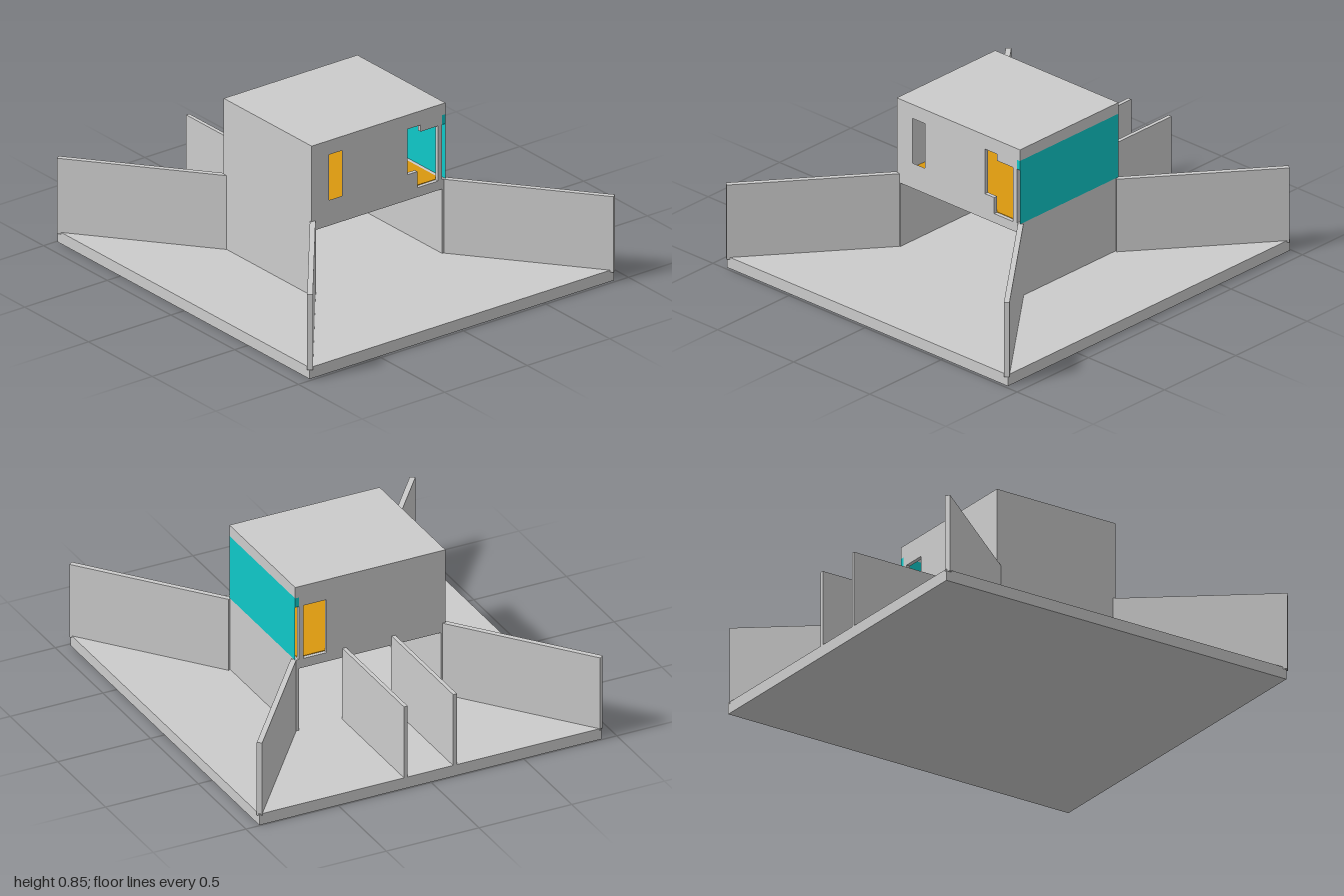
import * as THREE from 'three';

const grey = new THREE.MeshStandardMaterial({ color: 0xcccccc, flatShading: true });
const yellow = new THREE.MeshStandardMaterial({ color: 0xd9980f });
const cyan = new THREE.MeshStandardMaterial({ color: 0x0fc8c8, side: THREE.DoubleSide });

export function createModel() {
  const model = new THREE.Group();
  model.name = 'house';

  const add = (name, geometry, material = grey) => {
    const mesh = new THREE.Mesh(geometry, material);
    mesh.name = name;
    model.add(mesh);
    return mesh;
  };

  // Box given by its limits on each axis
  const block = (name, [x0, x1], [y0, y1], [z0, z1], material) => {
    const mesh = add(name, new THREE.BoxGeometry(x1 - x0, y1 - y0, z1 - z0), material);
    mesh.position.set((x0 + x1) / 2, (y0 + y1) / 2, (z0 + z1) / 2);
    return mesh;
  };

  // Side wall drawn in (z, y), cut by openings, extruded along x
  const toPoints = (list) => list.map(([z, y]) => new THREE.Vector2(-z, y));
  const sideWall = (name, x, outline, windows = []) => {
    const shape = new THREE.Shape(toPoints(outline));
    for (const w of windows) shape.holes.push(new THREE.Path(toPoints(w)));
    const geometry = new THREE.ExtrudeGeometry(shape, { depth: 0.02, bevelEnabled: false });
    geometry.rotateY(Math.PI / 2);
    add(name, geometry).position.x = x;
  };

  const houseX = [-0.35, 0.34];

  // Base plate, ground floor and slab
  block('base', [-0.995, 0.985], [0, 0.06], [-0.925, 0.92]);
  block('frontWall', houseX, [0.06, 0.85], [0.385, 0.41]);
  block('groundBackWall', houseX, [0.06, 0.45], [-0.4, -0.38]);
  block('upperSlab', houseX, [0.4, 0.449], [-0.38, 0.385]);
  block('upperFloor', [-0.33, 0.32], [0.449, 0.452], [-0.38, 0.385], yellow);

  // Upper side walls: door at the back, windows on the left side
  sideWall('leftWall', 0.32, [
    [0.385, 0.449], [0.385, 0.83], [-0.38, 0.83], [-0.38, 0.449], [-0.355, 0.449],
    [-0.355, 0.74], [-0.25, 0.74], [-0.25, 0.775], [-0.17, 0.775], [-0.17, 0.535],
    [-0.23, 0.535], [-0.23, 0.449],
  ], [[[0.305, 0.535], [0.305, 0.775], [0.225, 0.775], [0.225, 0.535]]]);
  sideWall('rightWall', -0.35, [
    [0.385, 0.449], [0.385, 0.83], [-0.38, 0.83], [-0.38, 0.449], [-0.355, 0.449],
    [-0.355, 0.74], [-0.23, 0.74], [-0.23, 0.449],
  ]);

  // Roof and the glazed back
  block('roof', houseX, [0.83, 0.85], [-0.4, 0.385]);
  block('backLintel', houseX, [0.79, 0.83], [-0.4, -0.38]);
  block('glazingHead', houseX, [0.74, 0.79], [-0.4, -0.38], cyan);
  const glazing = add('backGlazing', new THREE.PlaneGeometry(0.69, 0.29), cyan);
  glazing.position.set(-0.005, 0.595, -0.4);

  // Diagonal garden walls from the house corners to the base corners
  for (const sx of [-1, 1]) {
    for (const sz of [-1, 1]) {
      const inner = new THREE.Vector2(sx * 0.335, sz * 0.4);
      const outer = new THREE.Vector2(sx * 0.99, sz * 0.922);
      const run = outer.clone().sub(inner);
      const wall = add('diagonalWall', new THREE.BoxGeometry(run.length(), 0.4, 0.027));
      wall.position.set((inner.x + outer.x) / 2, 0.25, (inner.y + outer.y) / 2);
      wall.rotation.y = -Math.atan2(run.y, run.x);
    }
  }

  // Two parallel walls on the right side
  for (const z of [-0.135, 0.13]) {
    block('passageWall', [-0.995, -0.345], [0.055, 0.45], [z - 0.01, z + 0.01]);
  }

  return model;
}
